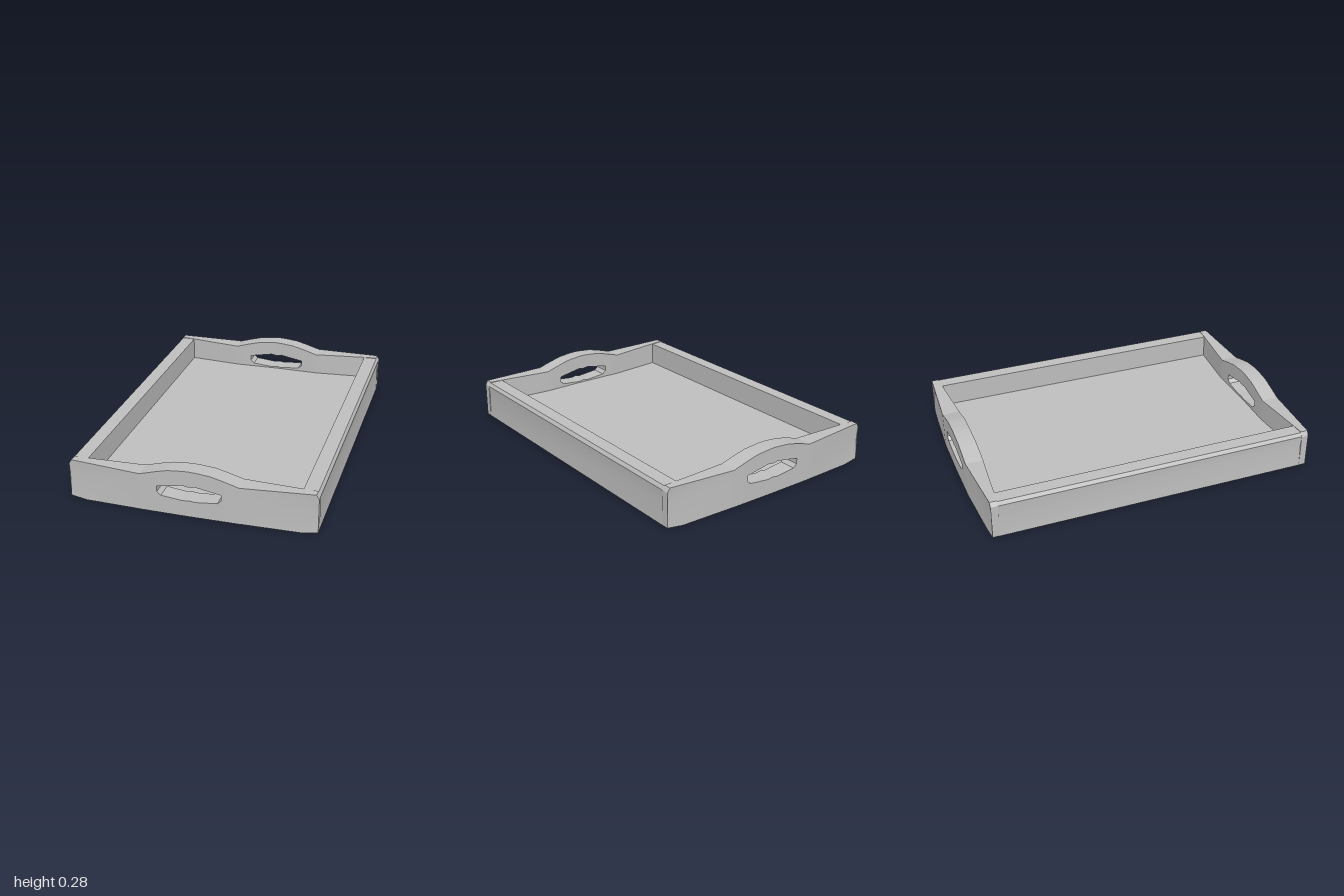
import * as THREE from 'three';
import { toCreasedNormals } from 'three/addons/utils/BufferGeometryUtils.js';

// Piecewise linear lookup in a list of [position, value] pairs
function at(table, x) {
  const t = Math.abs(x);
  for (let i = 1; i < table.length; i++) {
    const [x0, v0] = table[i - 1], [x1, v1] = table[i];
    if (t <= x1 + 1e-6) return v0 + (v1 - v0) * (t - x0) / (x1 - x0);
  }
  return table[table.length - 1][1];
}

// Closed solid through a row of equal cross-sections
function loft(rings) {
  const n = rings[0].length, index = [];
  for (let i = 0; i < rings.length - 1; i++) {
    for (let k = 0; k < n; k++) {
      const a = i * n + k, d = i * n + (k + 1) % n;
      index.push(a, a + n, d + n, a, d + n, d);
    }
  }
  const last = (rings.length - 1) * n;
  for (let k = 1; k < n - 1; k++) {
    index.push(0, k, k + 1, last, last + k + 1, last + k);
  }
  const geo = new THREE.BufferGeometry();
  geo.setAttribute('position', new THREE.Float32BufferAttribute(rings.flat(2), 3));
  geo.setIndex(index);
  return toCreasedNormals(geo, 0.3);
}

// Outline of the bowed end wall against distance from its middle
const top = [[0, 0.295], [0.04, 0.293], [0.12, 0.285], [0.2, 0.264], [0.28, 0.24], [0.69, 0.25], [0.705, 0.225]];
const bottom = [[0, 0.018], [0.3, 0.018], [0.61, 0.01], [0.705, 0.022]];
const outer = [[0, 1], [0.28, 0.998], [0.705, 0.97]];
const inner = [[0, 0.9], [0.28, 0.894], [0.61, 0.922], [0.705, 0.928]];
const groove = [[0, 0], [0.28, 0], [0.705, 0.008]];
const holeTop = [[0, 0.2], [0.035, 0.206], [0.182, 0.18]];
const holeBottom = [[0, 0.118], [0.035, 0.113], [0.16, 0.126], [0.182, 0.146]];

function endStrip(xs, low, high) {
  return loft(xs.map((x) => {
    const lo = at(low, x), hi = at(high, x), zo = at(outer, x), zi = at(inner, x);
    const mid = lo < 0.16 && hi > 0.16 ? 0.16 : (lo + hi) / 2;
    return [[x, lo, zo], [x, mid, zo - at(groove, x)], [x, hi, zo], [x, hi, zi], [x, lo, zi]];
  }));
}

export function createModel() {
  const group = new THREE.Group();
  const grey = new THREE.MeshStandardMaterial({ color: 0xbebebe });
  grey.name = 'grey';

  const add = (parent, name, geometry) => {
    const mesh = new THREE.Mesh(geometry, grey);
    mesh.name = name;
    parent.add(mesh);
    return mesh;
  };

  // Base panel
  add(group, 'base', new THREE.BoxGeometry(1.22, 0.093, 1.85)).position.y = 0.0585;

  const half = [0.182, 0.2, 0.28, 0.3, 0.45, 0.61, 0.69, 0.705];
  const holeHalf = [0.035, 0.08, 0.12, 0.16, 0.182];
  const mirror = (a) => a.map((x) => -x).reverse();
  const holeXs = [...mirror(holeHalf), 0, ...holeHalf];

  // Side wall with a shallow groove and a bevelled upper edge
  const sideRing = (z) => [
    [0.705, 0.021, z], [0.699, 0.16, z], [0.705, 0.225, z],
    [0.692, 0.246, z], [0.61, 0.246, z], [0.61, 0.011, z],
  ];
  const sideGeo = loft([sideRing(0.935), sideRing(-0.935)]);

  // End walls with handle openings, and side walls, each turned for the far side
  for (const [endName, sideName, angle] of [['front', 'left', 0], ['back', 'right', Math.PI]]) {
    const end = new THREE.Group();
    end.name = endName + 'Wall';
    add(end, 'wallLeft', endStrip(half, bottom, top));
    add(end, 'wallRight', endStrip(mirror(half), bottom, top));
    add(end, 'handleGrip', endStrip(holeXs, holeTop, top));
    add(end, 'wallBelowHandle', endStrip(holeXs, bottom, holeBottom));
    end.rotation.y = angle;
    group.add(end);
    add(group, sideName + 'Wall', sideGeo).rotation.y = angle;
  }
  return group;
}
